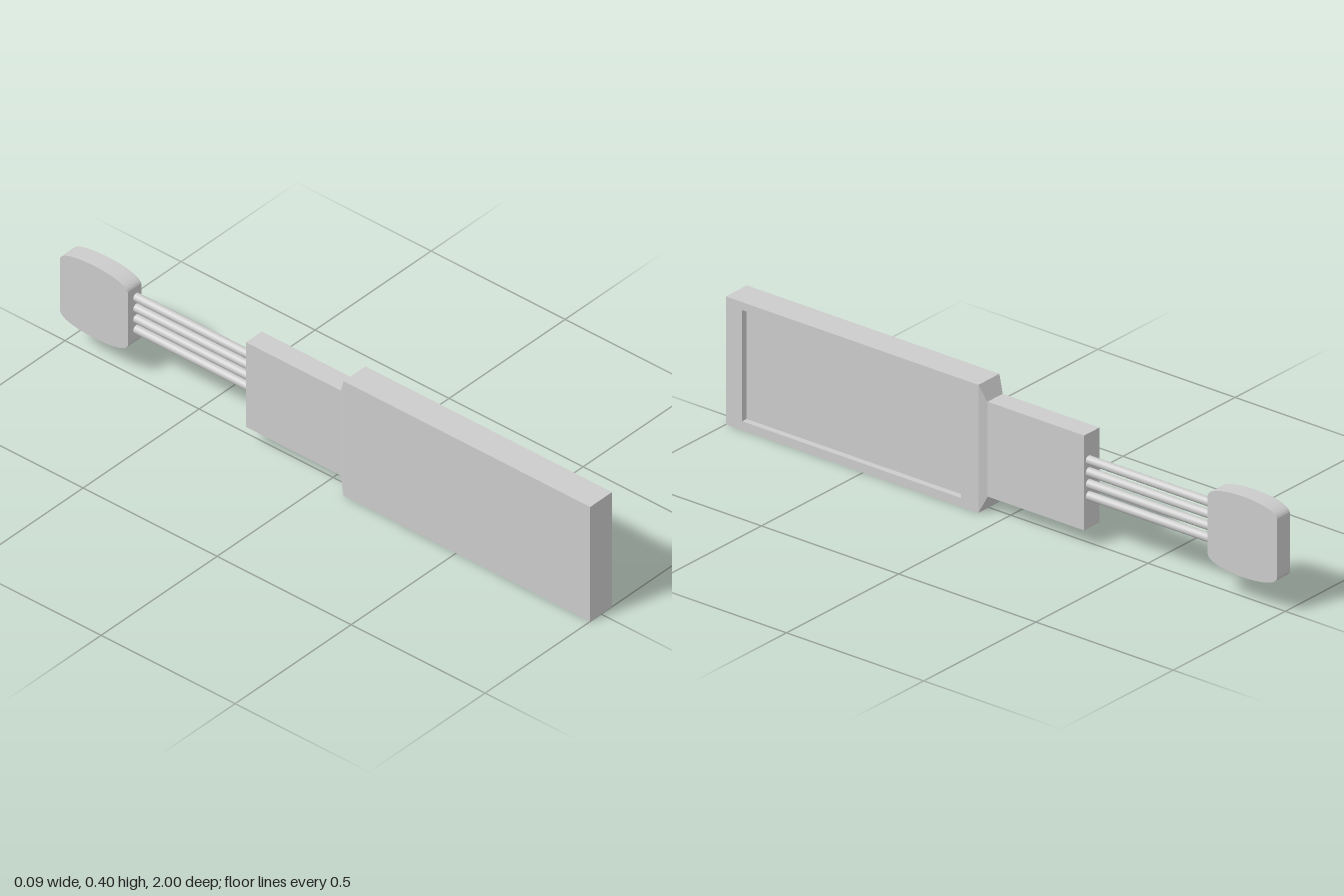
import * as THREE from 'three';

const material = new THREE.MeshStandardMaterial({ color: 0xcccccc });

function add(group, name, geometry, x = 0, y = 0, z = 0) {
  const mesh = new THREE.Mesh(geometry, material);
  mesh.name = name;
  mesh.position.set(x, y, z);
  group.add(mesh);
  return mesh;
}

// Extrudes a (z, y) outline sideways between two x positions.
function extrudeX(shape, x0, x1) {
  const g = new THREE.ExtrudeGeometry(shape, { depth: x1 - x0, bevelEnabled: false, curveSegments: 12 });
  return g.rotateY(-Math.PI / 2).translate(x1, 0, 0);
}

function rectangle(path, z0, z1, y0, y1) {
  path.moveTo(z0, y0);
  path.lineTo(z1, y0);
  path.lineTo(z1, y1);
  path.lineTo(z0, y1);
  path.closePath();
  return path;
}

export function createModel() {
  const group = new THREE.Group();
  const midY = 0.2015;
  const bodyBack = 0.08, neckFront = 0.057, neckBack = -0.295;
  const bodyX = 0.047, neckX = 0.034, neckH = 0.296;

  // Main housing: a frame around a recessed panel on the +x side
  const frame = rectangle(new THREE.Shape(), bodyBack, 1, 0, 0.4);
  frame.holes.push(rectangle(new THREE.Path(), 0.143, 0.94, 0.028, 0.375));
  add(group, 'housing', extrudeX(frame, -bodyX, bodyX));
  const panel = rectangle(new THREE.Shape(), 0.143, 0.94, 0.028, 0.375);
  add(group, 'recessedPanel', extrudeX(panel, -bodyX, 0.027));

  // Tapered shoulder: a box whose rear face is shrunk to the neck
  const shoulder = new THREE.BoxGeometry(bodyX * 2, 0.4, bodyBack - neckFront);
  const p = shoulder.attributes.position;
  for (let i = 0; i < p.count; i++) {
    if (p.getZ(i) < 0) {
      p.setX(i, Math.sign(p.getX(i)) * neckX);
      p.setY(i, Math.sign(p.getY(i)) * neckH / 2);
    }
  }
  shoulder.computeVertexNormals();
  add(group, 'shoulder', shoulder, 0, 0.2, (bodyBack + neckFront) / 2);

  // Neck block
  add(group, 'neck', new THREE.BoxGeometry(neckX * 2, neckH, neckFront - neckBack),
    0, midY, (neckFront + neckBack) / 2);

  // Four parallel wires
  const wireEnd = -0.75;
  for (let i = 0; i < 4; i++) {
    const wire = new THREE.CylinderGeometry(0.0135, 0.0135, neckBack - wireEnd, 20);
    wire.rotateX(Math.PI / 2);
    add(group, 'wire' + (i + 1), wire, 0.0135, 0.155 + i * 0.0372, (neckBack + wireEnd) / 2);
  }

  // End pad with softly bowed top and bottom
  const zf = -0.746, zb = -1, zm = (zf + zb) / 2, cy = 0.208, side = 0.088, top = 0.126;
  const pad = new THREE.Shape();
  pad.moveTo(zf, cy - side);
  pad.lineTo(zf, cy + side);
  pad.bezierCurveTo(zf, cy + 0.116, zm + 0.06, cy + top, zm, cy + top);
  pad.bezierCurveTo(zm - 0.06, cy + top, zb, cy + 0.116, zb, cy + side);
  pad.lineTo(zb, cy - side);
  pad.bezierCurveTo(zb, cy - 0.116, zm - 0.06, cy - top, zm, cy - top);
  pad.bezierCurveTo(zm + 0.06, cy - top, zf, cy - 0.116, zf, cy - side);
  add(group, 'endPad', extrudeX(pad, -0.022, 0.036));

  return group;
}
